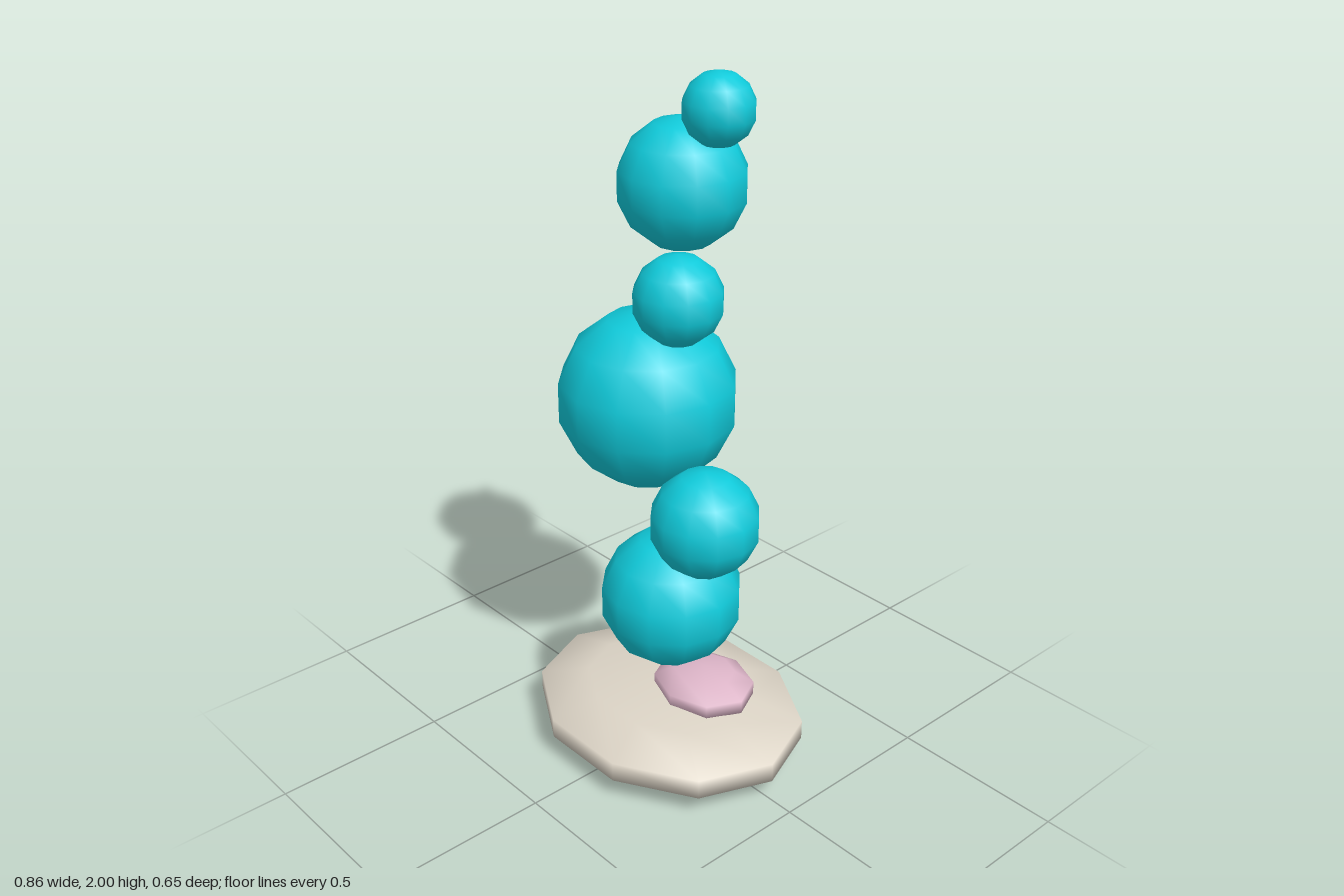
import * as THREE from 'three';

export function createModel() {
  const model = new THREE.Group();
  const mat = (name, color) => {
    const m = new THREE.MeshStandardMaterial({ color });
    m.name = name;
    return m;
  };
  const teal = mat('bubble teal', 0x10cbdb);
  const stone = mat('pale stone', 0xdcd4c6);
  const pink = mat('soft pink', 0xddb5c8);

  // Low-poly smooth ellipsoid
  const ball = (parent, name, material, [sx, sy, sz], [x, y, z], segments, rings) => {
    const geometry = new THREE.SphereGeometry(1, segments, rings);
    geometry.scale(sx, sy, sz);
    const mesh = new THREE.Mesh(geometry, material);
    mesh.name = name;
    mesh.position.set(x, y, z);
    parent.add(mesh);
  };

  // Flattened base and the small mound on it
  ball(model, 'basePebble', stone, [0.452, 0.094, 0.362], [-0.001, 0.097, 0], 10, 5);
  ball(model, 'pinkPebble', pink, [0.165, 0.063, 0.138], [0.092, 0.194, -0.053], 8, 5);

  // Rising bubbles: x, y, z, radius
  const bubbles = [
    [0.01, 0.482, 0, 0.204],
    [0.23, 0.838, 0.08, 0.149],
    [-0.153, 1.029, -0.058, 0.257],
    [0.093, 1.414, 0.052, 0.121],
    [-0.043, 1.66, -0.085, 0.176],
    [0.177, 1.907, 0, 0.093],
  ];
  const toHighlight = new THREE.Vector3(-0.55, 0.55, -0.63).normalize();

  bubbles.forEach(([x, y, z, r], i) => {
    const group = new THREE.Group();
    group.name = `bubble${i + 1}`;
    group.position.set(x, y, z);
    ball(group, 'bubbleBody', teal, [r, r, r], [0, 0, 0], 12, 7);
    // Small glint sunk into the upper back
    const h = r * 0.16;
    const p = toHighlight.clone().multiplyScalar(r * 0.94);
    ball(group, 'highlight', stone, [h, h, h], p.toArray(), 6, 4);
    model.add(group);
  });

  return model;
}
